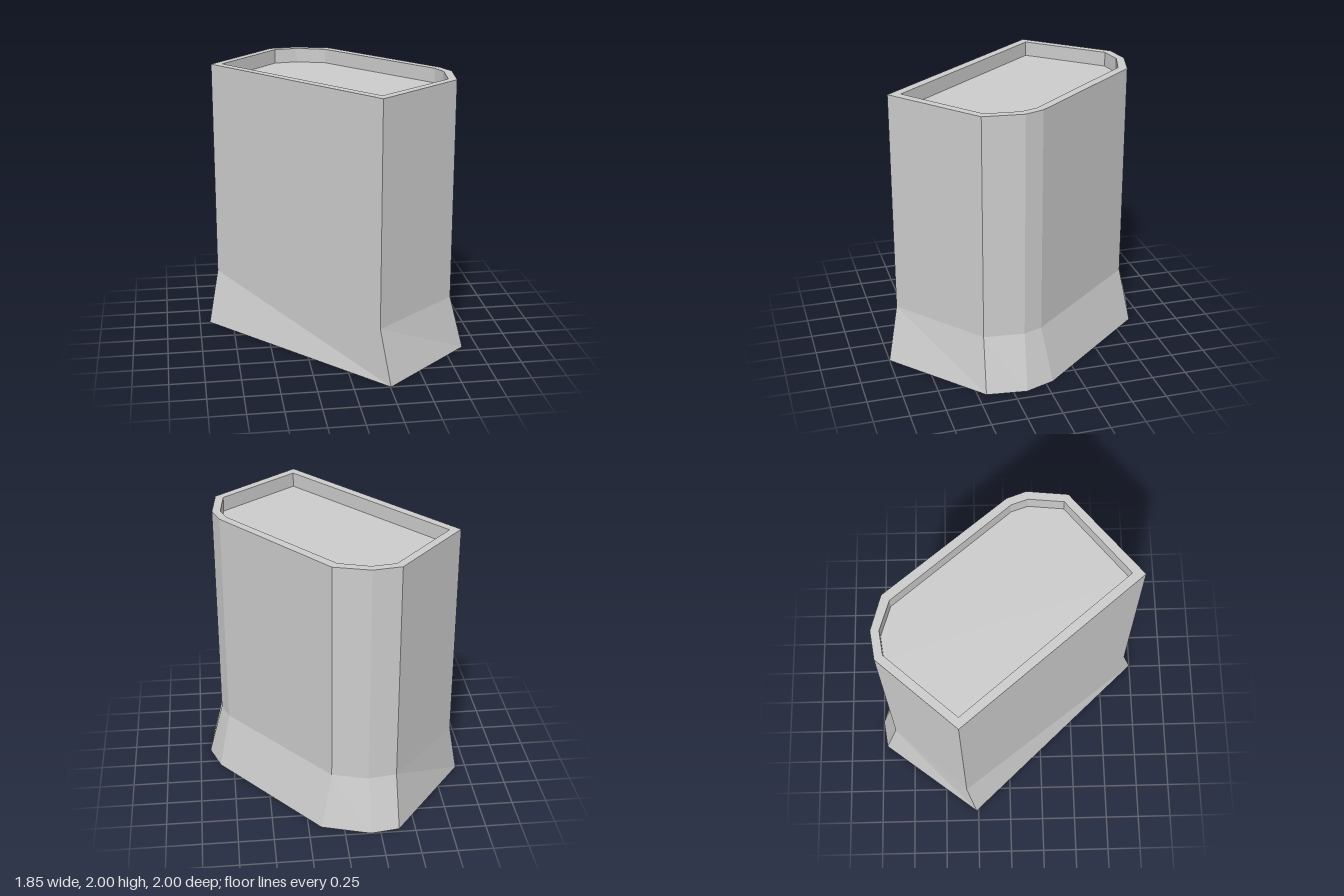
import * as THREE from 'three';

// Plan outlines as [x, z], going round the same eight corners
const skirtFoot = [[-0.925, -0.265], [-0.385, -0.97], [-0.18, -1], [0.16, -0.895], [0.85, -0.055], [0.925, 0.155], [0.89, 0.44], [0.255, 1]];
const wallOutline = [[-0.85, -0.33], [-0.37, -0.87], [-0.17, -0.9], [0.08, -0.83], [0.77, 0.01], [0.82, 0.145], [0.79, 0.43], [0.19, 0.92]];
const recessOutline = [[-0.77, -0.33], [-0.34, -0.815], [-0.17, -0.84], [0.04, -0.775], [0.72, 0.04], [0.76, 0.155], [0.735, 0.4], [0.2, 0.83]];

// Flat-faced band between two outlines at their own heights
function band(lower, y0, upper, y1) {
  const pos = [];
  const n = lower.length;
  for (let i = 0; i < n; i++) {
    const j = (i + 1) % n;
    const lo = k => [lower[k][0], y0, lower[k][1]];
    const hi = k => [upper[k][0], y1, upper[k][1]];
    pos.push(...lo(j), ...lo(i), ...hi(j), ...lo(i), ...hi(i), ...hi(j));
  }
  const g = new THREE.BufferGeometry();
  g.setAttribute('position', new THREE.Float32BufferAttribute(pos, 3));
  g.computeVertexNormals();
  return g;
}

export function createModel() {
  const group = new THREE.Group();
  group.name = 'hollowPillar';
  const grey = new THREE.MeshStandardMaterial({ color: 0xcccccc, side: THREE.DoubleSide });
  grey.name = 'plain grey';
  const add = (name, geometry) => {
    const mesh = new THREE.Mesh(geometry, grey);
    mesh.name = name;
    group.add(mesh);
  };

  const top = 2, floorY = 1.895, skirtTop = 0.4;

  // Straight shaft, open underneath, with the flared skirt around its foot
  add('shaftWalls', band(wallOutline, 0, wallOutline, top));
  add('flaredSkirt', band(skirtFoot, 0, wallOutline, skirtTop));

  // Rim and shallow recess on top
  add('topRim', band(wallOutline, top, recessOutline, top));
  add('recessWalls', band(recessOutline, top, recessOutline, floorY));
  const floor = new THREE.ShapeGeometry(new THREE.Shape(recessOutline.map(([x, z]) => new THREE.Vector2(x, -z))));
  floor.rotateX(-Math.PI / 2).translate(0, floorY, 0);
  add('recessFloor', floor);

  return group;
}
